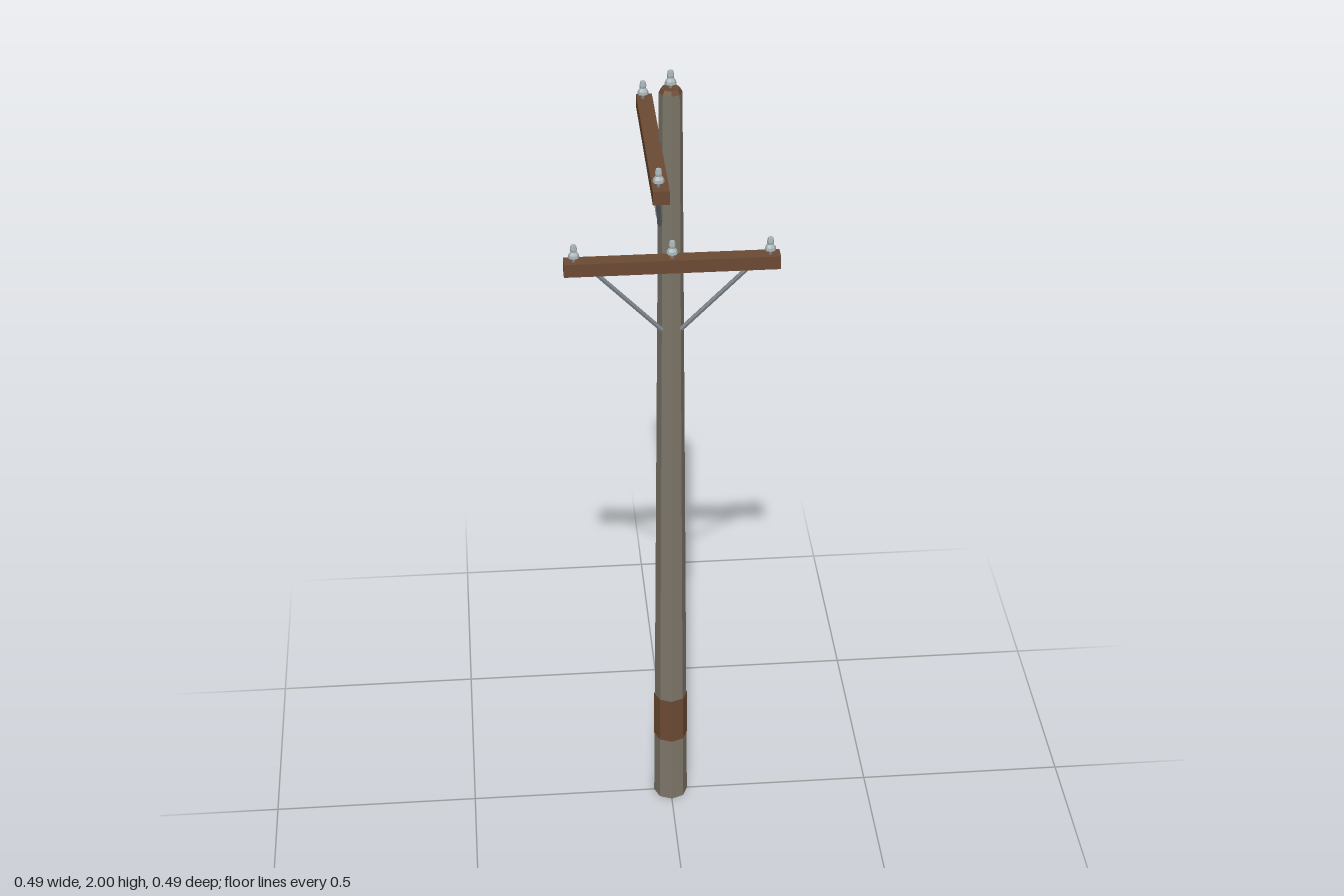
import * as THREE from 'three';

const mat = (name, color, flatShading = true) => {
  const m = new THREE.MeshStandardMaterial({ color, flatShading });
  m.name = name;
  return m;
};

export function createModel() {
  const weathered = mat('weatheredWood', 0x7c7568);
  const brown = mat('brownWood', 0x6b4a33);
  const steel = mat('steel', 0x7d838a);
  const glass = mat('paleCeramic', 0xa9b4b6);

  const model = new THREE.Group();
  model.name = 'utilityPole';
  const add = (parent, name, geometry, material, x = 0, y = 0, z = 0) => {
    const mesh = new THREE.Mesh(geometry, material);
    mesh.name = name;
    mesh.position.set(x, y, z);
    parent.add(mesh);
    return mesh;
  };

  // Tapered eight-sided pole with a chamfered cap and a painted band
  const top = 1.95, rBottom = 0.042, rTop = 0.026;
  const radiusAt = y => rBottom + (rTop - rBottom) * y / top;
  add(model, 'pole', new THREE.CylinderGeometry(rTop, rBottom, top, 8), weathered, 0, top / 2);
  add(model, 'poleCap', new THREE.CylinderGeometry(0.021, rTop, 0.01, 8), brown, 0, top + 0.005);
  add(model, 'band', new THREE.CylinderGeometry(radiusAt(0.31) + 0.0015, radiusAt(0.185) + 0.0015, 0.125, 8),
    brown, 0, 0.2475);

  // Insulator: steel pin, flared skirt and narrow head
  const bell = new THREE.LatheGeometry([
    [0, 0.012], [0.013, 0.012], [0.012, 0.019], [0.007, 0.026], [0.008, 0.032], [0.006, 0.042], [0, 0.042],
  ].map(([r, y]) => new THREE.Vector2(r, y)), 8);
  const pin = new THREE.CylinderGeometry(0.004, 0.004, 0.016, 6);
  const addInsulator = (parent, x, y, z) => {
    const insulator = new THREE.Group();
    insulator.name = 'insulator';
    insulator.position.set(x, y, z);
    add(insulator, 'insulatorPin', pin, steel, 0, 0.006);
    add(insulator, 'insulatorBell', bell, glass);
    parent.add(insulator);
  };
  addInsulator(model, 0, 1.958, 0);

  // Thin strut between two points
  const addBrace = (parent, a, b) => {
    const dir = b.clone().sub(a);
    const brace = add(parent, 'brace', new THREE.CylinderGeometry(0.0055, 0.0055, dir.length(), 6), steel);
    brace.position.copy(a).add(b).multiplyScalar(0.5);
    brace.quaternion.setFromUnitVectors(new THREE.Vector3(0, 1, 0), dir.normalize());
  };

  // Crossarm along x in front of the pole, with struts and insulators
  const addCrossarm = (name, y, insulators) => {
    const arm = new THREE.Group();
    arm.name = name;
    add(arm, 'beam', new THREE.BoxGeometry(0.486, 0.032, 0.036), brown, 0, y, 0.04);
    for (const s of [-1, 1]) {
      addBrace(arm, new THREE.Vector3(s * 0.175, y - 0.012, 0.044), new THREE.Vector3(s * 0.022, y - 0.178, 0.026));
    }
    for (const x of insulators) addInsulator(arm, x, y + 0.016, 0.044);
    model.add(arm);
    return arm;
  };
  addCrossarm('lowerCrossarm', 1.55, [-0.22, 0, 0.22]);
  addCrossarm('upperCrossarm', 1.818, [-0.22, 0.22]).rotation.y = -Math.PI / 2;

  return model;
}
